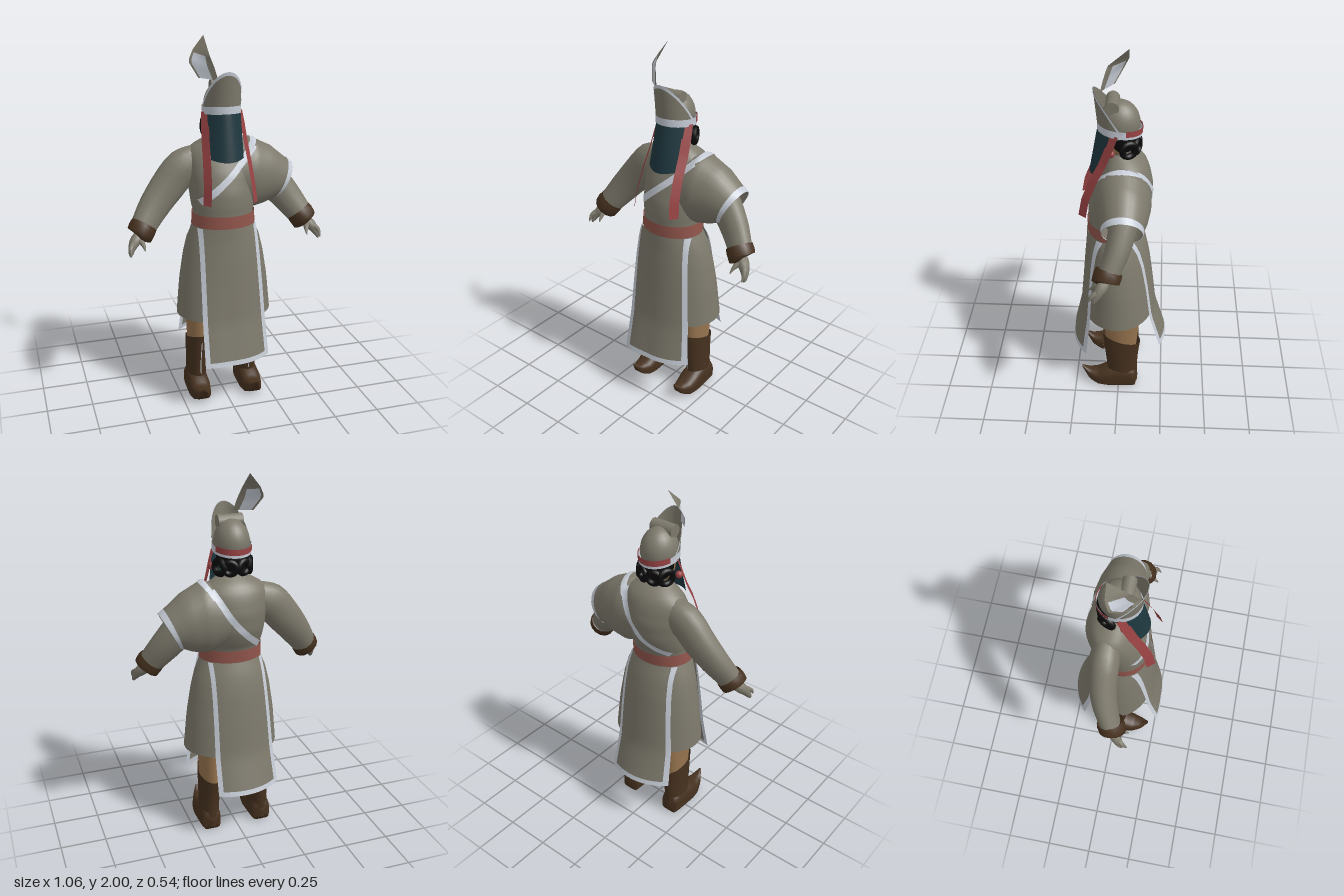
import * as THREE from 'three';
import { mergeVertices } from 'three/addons/utils/BufferGeometryUtils.js';

const mat = (name, color) => {
  const m = new THREE.MeshStandardMaterial({ color, side: THREE.DoubleSide });
  m.name = name;
  return m;
};
const PI = Math.PI, V = (x, y, z) => new THREE.Vector3(x, y, z);
const lerp = THREE.MathUtils.lerp;

// Linear interpolation in a table whose first column is the key (ascending)
function row(table, k) {
  let i = 0;
  while (i < table.length - 2 && k > table[i + 1][0]) i++;
  const a = table[i], b = table[i + 1], t = THREE.MathUtils.clamp((k - a[0]) / (b[0] - a[0]), 0, 1);
  return a.map((v, j) => lerp(v, b[j], t));
}
// Same, with evenly spaced rows and t from 0 to 1
const mix = (rows, t) => {
  const s = t * (rows.length - 1), i = Math.min(Math.floor(s), rows.length - 2);
  return rows[i].map((v, j) => lerp(v, rows[i + 1][j], s - i));
};

// Garment sections: height, centre x, half width, front z, back z
const BODY = [
  [0.27, 0.008, 0.28, 0.255, -0.265], [0.5, 0.008, 0.264, 0.208, -0.195], [0.7, 0.006, 0.246, 0.19, -0.172],
  [0.85, 0.004, 0.222, 0.178, -0.152], [0.95, 0.002, 0.198, 0.168, -0.13], [1.02, 0, 0.165, 0.165, -0.105],
  [1.09, 0, 0.162, 0.165, -0.11], [1.13, 0, 0.17, 0.168, -0.135], [1.2, 0, 0.176, 0.165, -0.165],
  [1.3, 0, 0.184, 0.137, -0.174], [1.38, 0, 0.186, 0.1, -0.158], [1.43, 0, 0.168, 0.075, -0.138],
  [1.46, 0, 0.115, 0.06, -0.11], [1.49, 0, 0.065, 0.045, -0.06],
];
const BOOT = [[0.02, 0.15, 0.056, 0.06, -0.111], [0.14, 0.146, 0.055, 0.068, -0.108], [0.25, 0.14, 0.062, 0.08, -0.114], [0.345, 0.135, 0.068, 0.092, -0.125]];
const FOOT = [ // z, bottom, top, half width
  [-0.112, 0.05, 0.06, 0.001], [-0.108, 0, 0.1, 0.045], [-0.08, 0, 0.13, 0.055], [0, 0, 0.14, 0.06], [0.07, 0, 0.115, 0.061],
  [0.12, 0.004, 0.088, 0.053], [0.17, 0.03, 0.088, 0.034], [0.213, 0.1, 0.114, 0.006],
];
// Shoulder cape rings: top x, top y, bottom x, bottom y, back z, front z
const CAPE = [[0, 1.41, 0.02, 1.12, -0.16, 0.115], [0.165, 1.466, 0.15, 1.075, -0.17, 0.128], [0.28, 1.41, 0.23, 1.09, -0.156, 0.1], [0.4, 1.31, 0.3, 1.12, -0.13, 0.072]];

const ring = (table, y, th, off = 0) => {
  const [, cx, rx, zf, zb] = row(table, y);
  return [cx + (rx + off) * Math.sin(th), y, (zf + zb) / 2 + ((zf - zb) / 2 + off) * Math.cos(th)];
};

export function createModel() {
  const model = new THREE.Group();
  const robe = mat('taupe cloth', 0x7d796c), trim = mat('pale trim', 0xc6ccd6), red = mat('red ribbon', 0x984243),
    sash = mat('faded red sash', 0x92564c), teal = mat('dark teal veil', 0x1e373f), brown = mat('brown leather', 0x46311f),
    skin = mat('tan skin', 0x98754f), black = mat('black hair', 0x0a0a0b);

  const add = (name, geo, m) => {
    const mesh = new THREE.Mesh(geo, m);
    mesh.name = name;
    model.add(mesh);
    return mesh;
  };
  // Smooth surface f(u, v) over a rectangle of parameters
  function sheet(name, m, f, [u0, u1, v0, v1], nu, nv) {
    const pos = [], idx = [], w = nu + 1;
    for (let j = 0; j <= nv; j++) for (let i = 0; i <= nu; i++) pos.push(...f(lerp(u0, u1, i / nu), lerp(v0, v1, j / nv)));
    for (let j = 0; j < nv; j++) for (let i = 0; i < nu; i++) {
      const a = j * w + i;
      idx.push(a, a + 1, a + w, a + 1, a + w + 1, a + w);
    }
    let g = new THREE.BufferGeometry();
    g.setAttribute('position', new THREE.Float32BufferAttribute(pos, 3));
    g.setIndex(idx);
    g = mergeVertices(g, 1e-5);
    g.computeVertexNormals();
    return add(name, g, m);
  }
  // Limb through points [x, y, z, radius], its depth scaled by flat
  function limb(name, m, pts, nv = 12, nu = 14, flat = 1) {
    const curve = new THREE.CatmullRomCurve3(pts.map(p => V(p[0], p[1], p[2])));
    return sheet(name, m, (th, v) => {
      const c = curve.getPoint(v), t = curve.getTangent(v), a = t.clone().cross(V(0, 0, 1)).normalize(), b = t.clone().cross(a);
      const r = mix(pts, v)[3];
      return c.addScaledVector(a, r * Math.cos(th)).addScaledVector(b, r * flat * Math.sin(th)).toArray();
    }, [0, 2 * PI, 0, 1], nu, nv);
  }
  // Flat strip laid onto targets along an axis; path holds the two other coordinates
  function drape(name, m, path, width, dir, targets) {
    const ray = new THREE.Raycaster(), curve = new THREE.SplineCurve(path.map(p => new THREE.Vector2(...p)));
    let depth = 3;
    sheet(name, m, (u, v) => {
      const p = curve.getPoint(v), t = curve.getTangent(v);
      p.x -= t.y * u * width; p.y += t.x * u * width;
      const o = dir.y ? V(p.x, 3, p.y) : V(p.x, p.y, -3 * dir.z);
      ray.set(o, dir);
      const hit = ray.intersectObjects(targets)[0];
      if (hit) depth = hit.distance - 0.006;
      return o.addScaledVector(dir, depth).toArray();
    }, [-0.5, 0.5, 0, 1], 2, 28);
  }

  // Robe and sash
  const torso = sheet('robeTop', robe, (t, y) => ring(BODY, y, t), [-PI, PI, 1.02, 1.49], 36, 20);
  sheet('skirt', robe, (t, y) => ring(BODY, y, t), [-PI, PI, 0.5, 1.03], 48, 12);
  sheet('sash', sash, (t, y) => ring(BODY, y, t, 0.008), [-PI, PI, 1.022, 1.09], 36, 3);

  // Long front and back panels with pale borders; the front one swings out at its right corner
  const panel = (side, xl, xr, low) => (u, v) => {
    const y = lerp(low, 1.02, v), x = lerp(lerp(xl[0], xl[1], v), lerp(xr[0], xr[1], v), u);
    const [, cx, rx] = row(BODY, y), s = THREE.MathUtils.clamp((x - cx) / (rx + 0.006), -1, 1);
    const p = ring(BODY, y, side > 0 ? Math.asin(s) : PI - Math.asin(s), 0.012);
    if (side > 0) p[2] += 0.045 * (1 - v) * Math.max(0, -x / 0.16) ** 1.5;
    return p;
  };
  for (const [name, f] of [['frontPanel', panel(1, [-0.16, -0.155], [0.215, 0.16], 0.27)], ['backPanel', panel(-1, [-0.205, -0.15], [0.15, 0.145], 0.295)]]) {
    sheet(name, robe, f, [0.07, 0.93, 0.035, 1], 18, 18);
    sheet(name + 'LeftTrim', trim, f, [0, 0.07, 0, 1], 2, 18);
    sheet(name + 'RightTrim', trim, f, [0.93, 1, 0, 1], 2, 18);
    sheet(name + 'Hem', trim, f, [0.07, 0.93, 0, 0.035], 18, 1);
  }

  // Wide cape over the left shoulder
  const cape = (k) => (th, v) => {
    const [tx, ty, bx, by, z0, z1] = mix(CAPE, v), c = Math.cos(th) * k, s = Math.sin(th) * k;
    return [(tx + bx) / 2 + c * (tx - bx) / 2, (ty + by) / 2 + c * (ty - by) / 2, (z0 + z1) / 2 + s * (z1 - z0) / 2];
  };
  const shoulder = sheet('shoulderCape', robe, cape(1), [0, 2 * PI, 0, 1], 28, 12);
  sheet('shoulderCapeHem', trim, cape(1.03), [0, 2 * PI, 0.93, 1.005], 28, 2);
  model.updateMatrixWorld(true);
  const cloth = [torso, shoulder];
  drape('frontDiagonalTrim', trim, [[-0.145, 1.16], [-0.06, 1.235], [0.05, 1.33], [0.12, 1.4], [0.16, 1.44]], 0.034, V(0, 0, -1), cloth);
  drape('shoulderTrim', trim, [[0.13, 0.075], [0.165, 0.03], [0.175, -0.03], [0.16, -0.09], [0.13, -0.13]], 0.032, V(0, -1, 0), cloth);
  drape('backDiagonalTrim', trim, [[0.14, 1.43], [0.105, 1.37], [0.05, 1.28], [-0.03, 1.19], [-0.13, 1.1]], 0.034, V(0, 0, 1), cloth);

  for (const s of [-1, 1]) {
    const side = s > 0 ? 'left' : 'right';
    const M = pts => pts.map(([x, ...r]) => [x * s, ...r]);
    // Sleeve, cuff and hand
    limb(side + 'Sleeve', robe, M([[0.1, 1.36, -0.04, 0.085], [0.2, 1.32, -0.038, 0.1], [0.29, 1.222, -0.03, 0.095], [0.37, 1.125, -0.005, 0.084], [0.44, 1.03, 0.035, 0.07]]), 16, 16, 0.77);
    limb(side + 'Cuff', brown, M([[0.43, 1.045, 0.032, 0.071], [0.446, 1.022, 0.041, 0.074], [0.462, 0.994, 0.05, 0.071], [0.464, 0.992, 0.05, 0.02]]), 6);
    limb(side + 'Hand', robe, M([[0.455, 1.0, 0.045, 0.028], [0.485, 0.975, 0.07, 0.032], [0.508, 0.945, 0.09, 0.022], [0.52, 0.91, 0.11, 0.01], [0.519, 0.9, 0.117, 0.001]]), 10, 10);
    limb(side + 'Finger', robe, M([[0.5, 0.965, 0.085, 0.018], [0.52, 0.95, 0.115, 0.012], [0.522, 0.915, 0.138, 0.003]]), 6, 8);
    limb(side + 'Thumb', robe, M([[0.475, 0.985, 0.065, 0.02], [0.455, 0.965, 0.1, 0.014], [0.447, 0.935, 0.135, 0.003]]), 6, 8);

    // Leg, boot shaft with slanted top, and turned-up foot
    sheet(side + 'Leg', skin, (t, y) => [s * 0.136 + (0.057 + 0.04 * (y - 0.29)) * Math.sin(t), y, -0.016 + (0.086 + 0.09 * (y - 0.29)) * Math.cos(t)], [-PI, PI, 0.29, 0.65], 18, 4);
    const shaft = sheet(side + 'BootShaft', brown, (t, y) => {
      const p = ring(BOOT, y, t);
      return [s * p[0], y + 0.3 * (p[2] + 0.01) * Math.max(0, (y - 0.15) / 0.195), p[2]];
    }, [-PI, PI, 0.02, 0.345], 20, 8);
    const foot = sheet(side + 'BootFoot', brown, (t, z) => {
      const [, y0, y1, w] = row(FOOT, z), c = Math.cos(t), q = Math.sin(t);
      const y = (y0 + y1) / 2 + (y1 - y0) / 2 * Math.sign(q) * Math.abs(q) ** (q < 0 ? 0.3 : 0.9);
      return [s * 0.15 + w * Math.sign(c) * Math.abs(c) ** (q < 0 ? 0.4 : 0.8), y, z];
    }, [0, 2 * PI, -0.112, 0.213], 24, 24);
    model.updateMatrixWorld(true);
    drape(side + 'BootSeam', trim, [[s * 0.14, 0.13], [s * 0.143, 0.2], [s * 0.138, 0.34]], 0.005, V(0, 0, -1), [shaft, foot]);

    // Hanging ribbon
    const RIB = [[0.13, 1.165, 0.19], [0.122, 1.26, 0.173], [0.115, 1.36, 0.135], [0.108, 1.46, 0.085], [0.102, 1.55, 0.05], [0.094, 1.62, 0.025]];
    sheet(side + 'Ribbon', red, (u, v) => {
      const [x, y, z] = mix(RIB, v);
      return [s * (x + 0.016 * u), y, z - 0.02 * u];
    }, [-1, 1, 0, 1], 2, 15);
    const knot = add(side + 'RibbonKnot', new THREE.SphereGeometry(0.02, 10, 8), red);
    knot.position.set(s * 0.095, 1.52, 0.04);

    // Looped braids
    for (const [a, r] of [[0.42, 0.032], [1.15, 0.036]]) {
      const braid = add(side + 'Braid', new THREE.TorusGeometry(r, 0.016, 8, 18), black);
      braid.position.set(s * 0.09 * Math.sin(a), 1.536, -0.018 - 0.076 * Math.cos(a));
      braid.rotation.y = -s * a;
    }
  }

  // Head and hair
  const ball = (name, m, [x, y, z], [a, b, c]) => {
    const o = add(name, new THREE.SphereGeometry(1, 24, 16), m);
    o.position.set(x, y, z);
    o.scale.set(a, b, c);
  };
  ball('face', skin, [0, 1.56, 0.025], [0.066, 0.09, 0.07]);
  ball('hair', black, [0, 1.575, -0.015], [0.084, 0.088, 0.085]);

  // Hat: crown, top roll, upturned peak and bands
  ball('hatCrown', robe, [0, 1.65, 0], [0.094, 0.12, 0.104]);
  const roll = add('hatRoll', new THREE.CylinderGeometry(0.035, 0.035, 0.135, 14).rotateZ(PI / 2), robe);
  roll.position.set(-0.002, 1.752, 0.036);
  const rise = (t) => 0.02 + 0.175 * Math.max(0, Math.cos(t));
  const peak = (t, v, off = 0) => {
    const c = Math.cos(t);
    return [(0.098 + 0.002 * v + off) * Math.sin(t), 1.64 - 0.012 * (1 - c) + v * rise(t), (0.112 + off + 0.02 * v * Math.max(0, c)) * c];
  };
  sheet('hatPeak', robe, peak, [-1.75, 1.75, 0, 0.99], 24, 6);
  sheet('hatPeakTrim', trim, (t, v) => peak(t, 1 - v * 0.018 / rise(t), 0.003), [-1.75, 1.75, 1, 0], 24, 1);
  const band = (r) => (t, v) => [(0.096 + r) * Math.sin(t), 1.632 - 0.014 * (1 - Math.cos(t)) + v, (0.11 + r) * Math.cos(t)];
  sheet('hatBand', trim, band(0.004), [-PI, PI, -0.013, 0.026], 32, 1);
  sheet('hatBackBand', red, band(0.007), [PI * 0.6, PI * 1.4, 0.002, 0.033], 16, 1);

  // Face veil
  sheet('veil', teal, (u, v) => [u * lerp(0.088, 0.09, v), lerp(1.375 + 0.012 * u * u, 1.632, v), lerp(0.157, 0.111, v) - lerp(0.045, 0.07, v) * u * u], [-1, 1, 0, 1], 12, 8);

  // Feather: outer and inner edges from base to tip
  const OUT = [[-0.13, 1.797, 0.03], [-0.17, 1.875, -0.018], [-0.14, 1.93, -0.04], [-0.083, 2.0, -0.042]];
  const IN = [[-0.045, 1.79, 0.1], [-0.06, 1.85, 0.085], [-0.08, 1.91, 0.065], [-0.083, 2.0, -0.042]];
  const feather = (u, v) => {
    const a = mix(OUT, v), b = mix(IN, v);
    return a.map((p, i) => lerp(p, b[i], u));
  };
  sheet('featherOuterEdge', robe, feather, [0, 0.1, 0, 0.6], 1, 6);
  sheet('featherCentre', trim, feather, [0.1, 0.72, 0, 0.6], 3, 6);
  sheet('featherInnerEdge', robe, feather, [0.72, 1, 0, 0.6], 2, 6);
  sheet('featherTip', robe, feather, [0, 1, 0.6, 1], 4, 5);

  return model;
}
